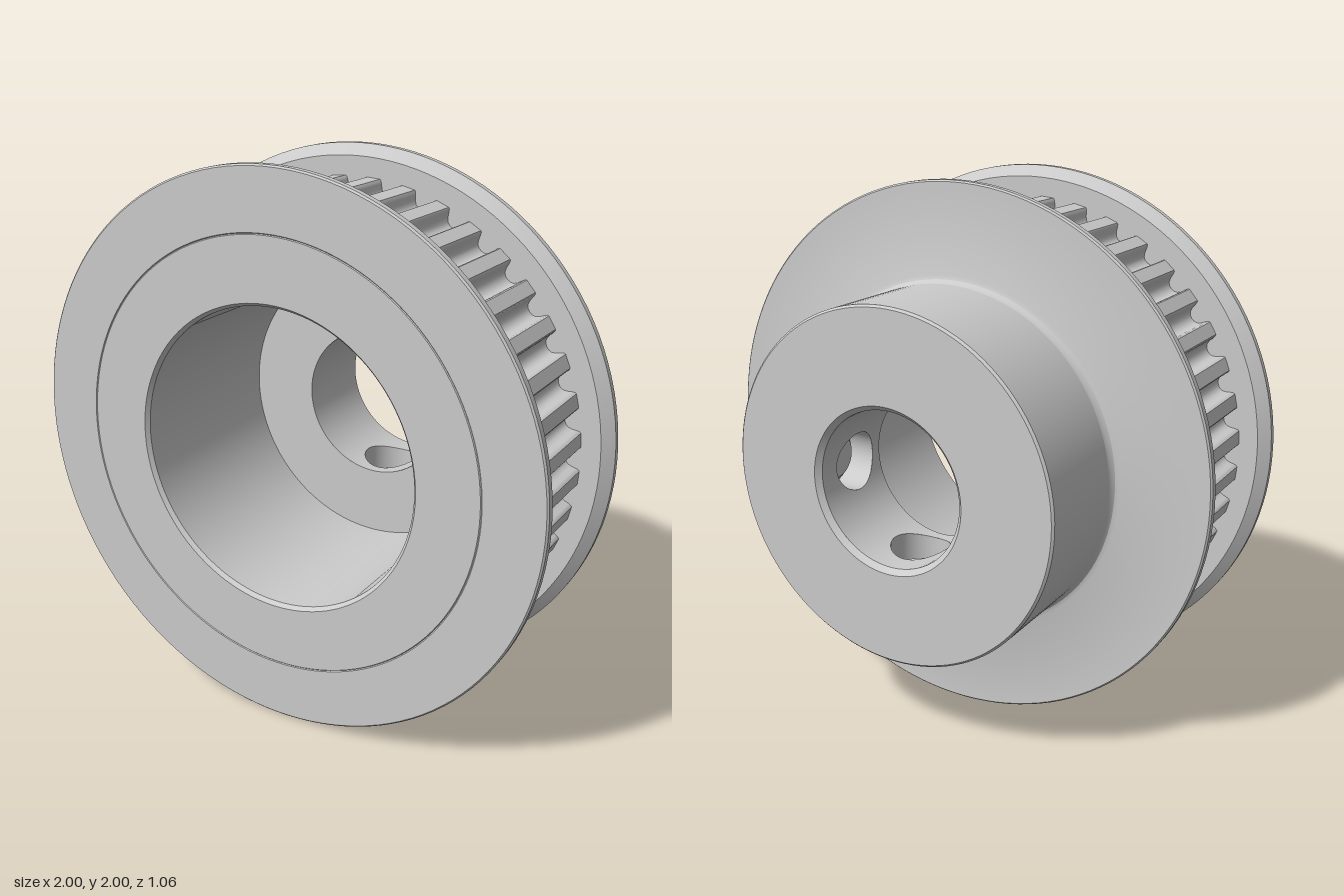
import * as THREE from 'three';
import { toCreasedNormals } from 'three/addons/utils/BufferGeometryUtils.js';

const material = new THREE.MeshStandardMaterial({ color: 0xcccccc });
const HUB_R = 0.645, BORE_R = 0.285, HOLE_Z = -0.32;
const TEETH = 40;

function addMesh(parent, name, geometry) {
  const mesh = new THREE.Mesh(geometry, material);
  mesh.name = name;
  parent.add(mesh);
  return mesh;
}

// Revolve [radius, height] points about y, keeping sharp edges
function revolve(points, segments) {
  const profile = points.map(([r, h]) => new THREE.Vector2(r, h));
  return toCreasedNormals(new THREE.LatheGeometry(profile, segments), 0.5);
}

// Surface from a grid of points; flip turns it inside out
function gridSurface(cols, rows, flip, point) {
  const positions = [], index = [];
  for (let i = 0; i <= cols; i++) {
    for (let j = 0; j <= rows; j++) positions.push(...point(i, j));
  }
  for (let i = 0; i < cols; i++) {
    for (let j = 0; j < rows; j++) {
      const a = i * (rows + 1) + j, b = a + 1, d = a + rows + 1, c = d + 1;
      if (flip) index.push(a, c, b, a, d, c);
      else index.push(a, b, c, a, c, d);
    }
  }
  const geometry = new THREE.BufferGeometry();
  geometry.setAttribute('position', new THREE.Float32BufferAttribute(positions, 3));
  geometry.setIndex(index);
  geometry.computeVertexNormals();
  return geometry;
}

const onCylinder = (r, angle, z) => [r * Math.cos(angle), r * Math.sin(angle), z];

// Exact radial normals for a piece of cylinder wall
function radialNormals(geometry, inward) {
  const p = geometry.attributes.position, n = geometry.attributes.normal;
  for (let i = 0; i < p.count; i++) {
    const s = (inward ? -1 : 1) / Math.hypot(p.getX(i), p.getY(i));
    n.setXYZ(i, p.getX(i) * s, p.getY(i) * s, 0);
  }
  return geometry;
}

// Quarter of a cylinder wall pierced by a round radial hole
function piercedWall(r, z0, z1, centre, holeR, inward) {
  const w = r * Math.PI / 4, up = z1 - HOLE_Z, down = HOLE_Z - z0;
  const angles = [];
  for (let i = 0; i <= 96; i++) angles.push(i / 96 * Math.PI * 2);
  for (const [x, y] of [[w, up], [-w, up], [-w, -down], [w, -down]]) {
    angles.push((Math.atan2(y, x) + Math.PI * 2) % (Math.PI * 2));
  }
  angles.sort((a, b) => a - b);
  const rows = 6;
  return radialNormals(gridSurface(angles.length - 1, rows, inward, (i, j) => {
    const c = Math.cos(angles[i]), s = Math.sin(angles[i]), k = j / rows;
    const reach = Math.min(w / Math.abs(c), (s > 0 ? up : down) / Math.abs(s));
    const angle = (1 - k) * Math.asin(holeR * c / r) + k * reach * c / r;
    const z = HOLE_Z + s * ((1 - k) * holeR + k * reach);
    return onCylinder(r, centre + angle, z);
  }), inward);
}

// Unpierced half of a cylinder wall
function plainWall(r, z0, z1, inward) {
  return radialNormals(gridSurface(64, 1, inward, (i, j) =>
    onCylinder(r, Math.PI / 4 + i / 64 * Math.PI, j ? z0 : z1)), inward);
}

// Radial screw hole: [hole radius, cylinder radius the ring lies on]
function screwHole(centre) {
  const rings = [[0.125, HUB_R], [0.114, 0.632], [0.108, BORE_R]];
  return toCreasedNormals(gridSurface(48, rings.length - 1, true, (i, j) => {
    const t = i / 48 * Math.PI * 2, [h, r] = rings[j];
    return onCylinder(r, centre + Math.asin(h * Math.cos(t) / r), HOLE_Z + h * Math.sin(t));
  }), 0.5);
}

// Headless screw with a hexagonal socket, pointing along +y
function setScrew() {
  const screw = new THREE.Group();
  screw.name = 'setScrew';
  addMesh(screw, 'screwBody', revolve([
    [0, 0.36], [0.08, 0.36], [0.108, 0.385], [0.108, 0.605], [0.1, 0.62], [0.1, 0.54], [0, 0.54],
  ], 40));
  const face = new THREE.Shape().absarc(0, 0, 0.1, 0, Math.PI * 2);
  const hex = [];
  for (let i = 0; i < 6; i++) {
    const a = Math.PI / 2 - i * Math.PI / 3;
    hex.push(new THREE.Vector2(0.063 * Math.cos(a), 0.063 * Math.sin(a)));
  }
  face.holes.push(new THREE.Path(hex));
  const socket = new THREE.ExtrudeGeometry(face, { depth: 0.09, bevelEnabled: false, curveSegments: 20 });
  socket.rotateX(-Math.PI / 2).translate(0, 0.53, 0);
  addMesh(screw, 'hexSocket', socket);
  return screw;
}

// Toothed belt ring with rounded grooves
function toothRing() {
  const half = [[2.9, 0.89], [2.6, 0.886], [2.35, 0.875], [2.1, 0.858], [1.6, 0.844], [0.85, 0.837]];
  const groove = [
    ...half.map(([a, r]) => [-a, r]), [0, 0.835], ...half.slice().reverse(),
  ];
  const points = [];
  for (let i = 0; i < TEETH; i++) {
    for (const [a, r] of groove) {
      const angle = i * Math.PI * 2 / TEETH + THREE.MathUtils.degToRad(a);
      points.push(new THREE.Vector2(r * Math.cos(angle), r * Math.sin(angle)));
    }
  }
  const shape = new THREE.Shape(points);
  shape.holes.push(new THREE.Path().absarc(0, 0, 0.7, 0, Math.PI * 2, true));
  const geometry = new THREE.ExtrudeGeometry(shape, { depth: 0.52, bevelEnabled: false, curveSegments: 32 });
  geometry.translate(0, 0, -0.045);
  return toCreasedNormals(geometry, 0.6);
}

export function createModel() {
  const model = new THREE.Group();
  model.name = 'timingPulley';

  addMesh(model, 'toothRing', toothRing());

  // Both flanges, the front counterbore and its floor
  addMesh(model, 'flangesAndCounterbore', revolve([
    [HUB_R, -0.13], [0.648, -0.117], [0.657, -0.106], [0.672, -0.1],
    [0.994, -0.1], [1, -0.094], [1, -0.07], [0.96, -0.035], [0.8, -0.035],
    [0.8, 0.465], [0.96, 0.465], [1, 0.5], [1, 0.524], [0.994, 0.53],
    [0.783, 0.53], [0.78, 0.527], [0.777, 0.53],
    [0.552, 0.53], [0.54, 0.515], [0.54, -0.17], [BORE_R, -0.17],
  ], 128).rotateX(Math.PI / 2));

  // Rear face of the hub with chamfered edges
  addMesh(model, 'hubRearFace', revolve([
    [BORE_R, -0.51], [0.304, -0.53], [0.637, -0.53], [HUB_R, -0.522],
  ], 128).rotateX(Math.PI / 2));

  addMesh(model, 'hubWall', plainWall(HUB_R, -0.522, -0.13, false));
  addMesh(model, 'boreWall', plainWall(BORE_R, -0.51, -0.17, true));

  // Two set screws at right angles: left side and underside
  for (const centre of [0, -Math.PI / 2]) {
    addMesh(model, 'hubWallWithHole', piercedWall(HUB_R, -0.522, -0.13, centre, 0.125, false));
    addMesh(model, 'boreWallWithHole', piercedWall(BORE_R, -0.51, -0.17, centre, 0.108, true));
    addMesh(model, 'screwHole', screwHole(centre));
    const screw = setScrew();
    screw.rotation.z = centre - Math.PI / 2;
    screw.position.z = HOLE_Z;
    model.add(screw);
  }

  model.position.y = 1;
  const root = new THREE.Group();
  root.name = 'pulley';
  root.add(model);
  return root;
}
